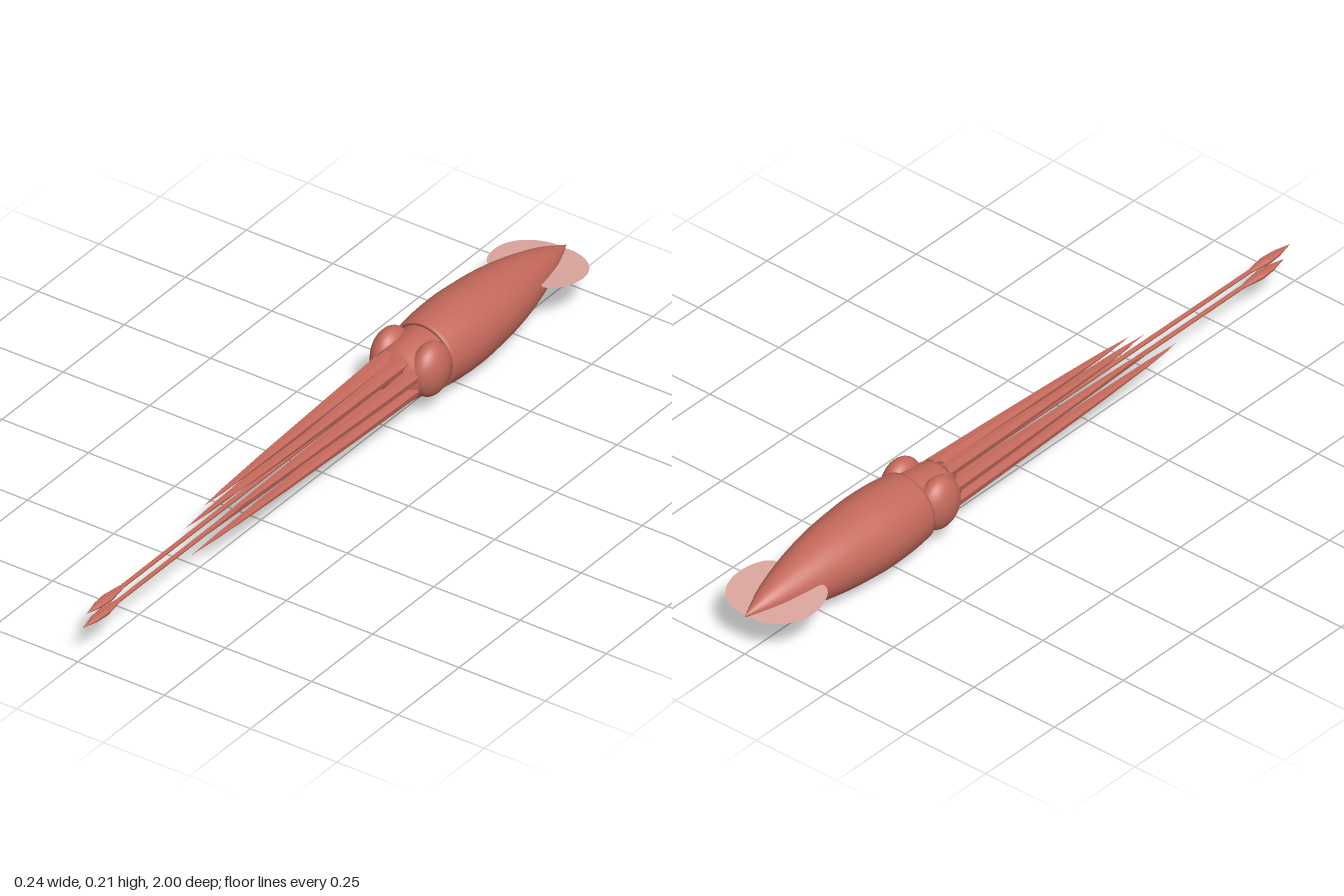
import * as THREE from 'three';

const skin = new THREE.MeshStandardMaterial({ color: 0xc4695b, side: THREE.DoubleSide });
skin.name = 'brick red skin';
const armSkin = new THREE.MeshStandardMaterial({ color: 0xc4695b });
armSkin.name = 'brick red arm skin';
armSkin.flatShading = true;
const finSkin = new THREE.MeshStandardMaterial({ color: 0xdba69d, side: THREE.DoubleSide });
finSkin.name = 'pale pink fin';

const AXIS_Y = 0.099;

// Turned solid along +z from [z, radius] pairs
function turned(profile, sides) {
  const points = profile.map(([z, r]) => new THREE.Vector2(r, z));
  return new THREE.LatheGeometry(points, sides).rotateX(Math.PI / 2);
}

function addMesh(group, name, geometry, material) {
  const mesh = new THREE.Mesh(geometry, material);
  mesh.name = name;
  group.add(mesh);
  return mesh;
}

// Limb from one point to another, with [fraction of length, radius] pairs
function addLimb(group, name, from, to, profile, sides) {
  const length = from.distanceTo(to);
  const geometry = turned(profile.map(([t, r]) => [t * length, r]), sides);
  const limb = addMesh(group, name, geometry, armSkin);
  limb.position.copy(from);
  limb.lookAt(to);
  return limb;
}

export function createModel() {
  const squid = new THREE.Group();
  squid.name = 'squid';

  // Mantle: smooth torpedo with a rim turned inward at the opening
  const mantleCurve = new THREE.SplineCurve([
    [0, -1], [0.018, -0.96], [0.042, -0.9], [0.069, -0.8], [0.087, -0.7],
    [0.096, -0.6], [0.0985, -0.54], [0.096, -0.47], [0.09, -0.412],
  ].map(([r, z]) => new THREE.Vector2(r, z)));
  const mantleProfile = mantleCurve.getPoints(36).map((p) => [p.y, Math.max(p.x, 0)]);
  mantleProfile.push([-0.411, 0.082], [-0.46, 0.08]);
  addMesh(squid, 'mantle', turned(mantleProfile, 48), skin).position.y = AXIS_Y;

  // Head
  addMesh(squid, 'head', turned([
    [-0.5, 0], [-0.48, 0.07], [-0.43, 0.08], [-0.37, 0.077], [-0.31, 0.069],
    [-0.28, 0.058], [-0.27, 0],
  ], 32), skin).position.y = AXIS_Y;

  // Funnel under the head
  const funnel = addMesh(squid, 'funnel', turned([
    [-0.46, 0.034], [-0.4, 0.026], [-0.333, 0.017], [-0.333, 0.012], [-0.38, 0.012], [-0.38, 0],
  ], 20), skin);
  funnel.position.y = 0.024;

  for (const side of [-1, 1]) {
    const label = side > 0 ? 'left' : 'right';

    // Bulging eyes
    const eye = addMesh(squid, label + 'Eye', new THREE.SphereGeometry(1, 28, 20), skin);
    eye.scale.set(0.042, 0.071, 0.063);
    eye.position.set(side * 0.058, 0.112, -0.362);

    // Rounded fin, slightly raised towards the front
    const outline = new THREE.Shape();
    outline.moveTo(0, -0.99);
    outline.bezierCurveTo(side * 0.06, -1.0, side * 0.122, -0.955, side * 0.122, -0.89);
    outline.bezierCurveTo(side * 0.122, -0.84, side * 0.1, -0.8, side * 0.072, -0.798);
    outline.lineTo(side * 0.04, -0.83);
    outline.lineTo(0, -0.98);
    const fin = new THREE.ShapeGeometry(outline, 20).rotateX(Math.PI / 2);
    const pos = fin.attributes.position;
    for (let i = 0; i < pos.count; i++) pos.setY(i, 0.106 + (pos.getZ(i) + 0.89) * 0.1);
    // Keep the painted side facing up on both fins
    fin.computeVertexNormals();
    if (fin.attributes.normal.getY(0) < 0) {
      const index = fin.index;
      for (let i = 0; i < index.count; i += 3) {
        const a = index.getX(i);
        index.setX(i, index.getX(i + 2));
        index.setX(i + 2, a);
      }
      fin.computeVertexNormals();
    }
    addMesh(squid, label + 'Fin', fin, finSkin);

    // Four arms on each side: base angle and tip
    const armTaper = [[0, 0], [0.001, 0.02], [0.3, 0.0165], [0.65, 0.011], [0.88, 0.0055], [1, 0]];
    [
      [67.5, 0.013, 0.137, 0.4],
      [22.5, 0.034, 0.116, 0.44],
      [-22.5, 0.042, 0.084, 0.505],
      [-67.5, 0.014, 0.058, 0.555],
    ].forEach(([degrees, x, y, z], i) => {
      const a = THREE.MathUtils.degToRad(degrees);
      const base = new THREE.Vector3(side * 0.052 * Math.cos(a), AXIS_Y + 0.052 * Math.sin(a), -0.3);
      addLimb(squid, label + 'Arm' + (i + 1), base, new THREE.Vector3(side * x, y, z), armTaper, 7);
    });

    // Long feeding tentacle with a leaf-shaped club; the left one reaches further
    const end = side > 0 ? 1 : 0.945;
    const clubStart = end - 0.16;
    addLimb(squid, label + 'Tentacle',
      new THREE.Vector3(side * 0.014, 0.092, -0.3),
      new THREE.Vector3(side * 0.014, 0.09, clubStart + 0.02),
      [[0, 0.007], [1, 0.0055]], 7);
    const club = addLimb(squid, label + 'Club',
      new THREE.Vector3(side * 0.014, 0.09, clubStart),
      new THREE.Vector3(side * 0.014, 0.09, end),
      [[0, 0.004], [0.2, 0.009], [0.45, 0.014], [0.7, 0.011], [1, 0]], 7);
    club.scale.y = 0.7;
  }
  return squid;
}
